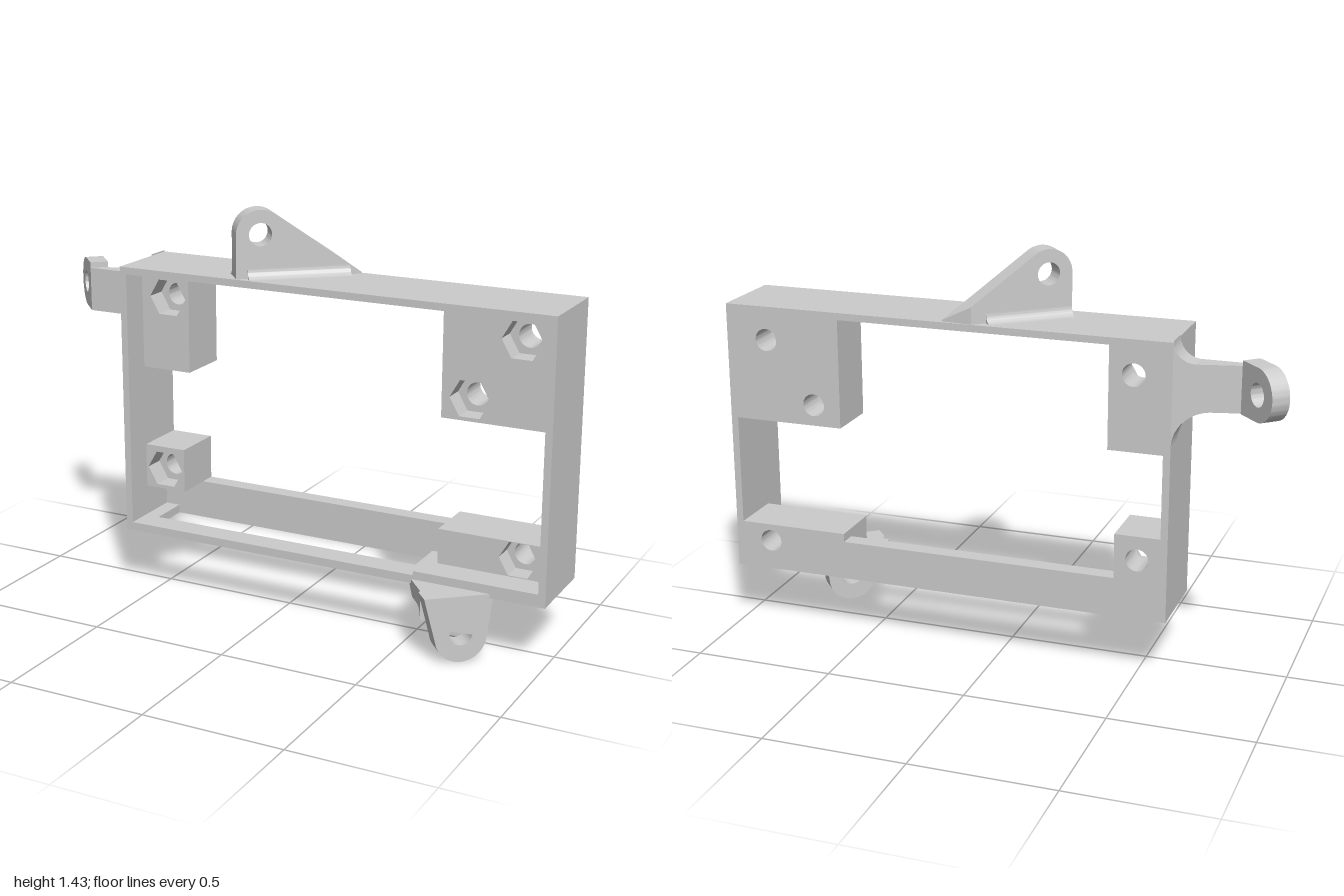
import * as THREE from 'three';
import { toCreasedNormals } from 'three/addons/utils/BufferGeometryUtils.js';

const material = new THREE.MeshStandardMaterial({ color: 0xcccccc });
const HOLE = 0.04, BACK = -0.18, FRONT = 0.12;

function part(parent, name, geometry) {
  const mesh = new THREE.Mesh(geometry, material);
  mesh.name = name;
  parent.add(mesh);
  return mesh;
}

// Box given by its limits on each axis
function box(parent, name, x0, x1, y0, y1, z0, z1) {
  const g = new THREE.BoxGeometry(x1 - x0, y1 - y0, z1 - z0);
  g.translate((x0 + x1) / 2, (y0 + y1) / 2, (z0 + z1) / 2);
  return part(parent, name, g);
}

function extrude(shape, z0, z1) {
  const g = new THREE.ExtrudeGeometry(shape, { depth: z1 - z0, bevelEnabled: false, curveSegments: 20 });
  return g.translate(0, 0, z0);
}

const smooth = (g) => toCreasedNormals(g, 0.5);

function addHole(shape, x, y, r = HOLE) {
  shape.holes.push(new THREE.Path().absarc(x, y, r, 0, Math.PI * 2, true));
}

function addHex(shape, x, y, r) {
  const pts = [];
  for (let i = 0; i < 6; i++) {
    const a = -i * Math.PI / 3;
    pts.push(new THREE.Vector2(x + r * Math.cos(a), y + r * Math.sin(a)));
  }
  shape.holes.push(new THREE.Path(pts));
}

// Corner block: hexagonal nut pockets in front, round screw holes behind
function screwBlock(parent, name, x0, x1, y0, y1, holes, hexR = 0.072) {
  const outline = () => new THREE.Shape([[x0, y0], [x1, y0], [x1, y1], [x0, y1]].map((p) => new THREE.Vector2(...p)));
  const front = outline(), back = outline();
  for (const [x, y] of holes) {
    addHex(front, x, y, hexR);
    addHole(back, x, y);
  }
  const group = new THREE.Group();
  group.name = name;
  part(group, 'nutPocketLayer', extrude(front, -0.06, 0.015));
  part(group, 'screwHoleLayer', smooth(extrude(back, BACK, -0.06)));
  parent.add(group);
}

// Cross-section (local z, y) swept along local x
function sweep(shape, x0, x1) {
  return smooth(extrude(shape, x0, x1).rotateY(Math.PI / 2));
}

function turnedGroup(parent, name, x, y, z, degrees) {
  const group = new THREE.Group();
  group.name = name;
  group.position.set(x, y, z);
  group.rotation.y = THREE.MathUtils.degToRad(degrees);
  parent.add(group);
  return group;
}

function buildFrame(parent) {
  const frame = new THREE.Group();
  frame.name = 'frame';
  parent.add(frame);
  box(frame, 'rightWall', -0.61, -0.585, 0.22, 1.2, BACK, FRONT);
  box(frame, 'leftWall', 0.975, 1, 0.22, 1.2, BACK, FRONT);
  box(frame, 'topWall', -0.585, 0.975, 1.175, 1.2, BACK, FRONT);
  // Floor around a long slot, with a raised pad over the lower lug
  box(frame, 'floorFrontStrip', -0.585, 0.5, 0.22, 0.25, 0.03, FRONT);
  box(frame, 'floorRightEnd', -0.585, -0.53, 0.22, 0.25, -0.12, 0.03);
  box(frame, 'floorLeftEnd', 0.5, 0.975, 0.22, 0.25, -0.12, FRONT);
  box(frame, 'floorPad', 0.53, 0.975, 0.25, 0.265, -0.12, FRONT);
  box(frame, 'backRail', -0.585, 0.575, 0.22, 0.36, BACK, -0.12);

  screwBlock(frame, 'upperRightBlock', -0.585, -0.395, 0.815, 1.175, [[-0.48, 1.08]]);
  screwBlock(frame, 'upperLeftBlock', 0.575, 0.975, 0.785, 1.175, [[0.85, 1.08], [0.675, 0.86]]);
  screwBlock(frame, 'lowerRightBlock', -0.585, -0.425, 0.36, 0.52, [[-0.505, 0.435]]);
  screwBlock(frame, 'lowerLeftBlock', 0.575, 0.975, 0.22, 0.39, [[0.865, 0.328]], 0.069);
}

function buildTopLug(parent) {
  const lug = turnedGroup(parent, 'topLug', -0.145, 1.2, 0.115, 40);
  const r = 0.085, t = 0.075, slope = 0.7, cut = 0.364, end = 0.448;
  const a = Math.PI / 2 - Math.atan(slope);
  const s = new THREE.Shape();
  s.moveTo(0, 0);
  s.lineTo(cut, 0);
  s.lineTo(cut, (end - cut) * slope);
  s.absarc(r, 0.15, r, a, Math.PI, false);
  s.lineTo(0, 0);
  addHole(s, r, 0.15);
  const g = extrude(s, -t, 0);
  // Slant the tail so it ends flush with the frame's back
  const p = g.attributes.position;
  for (let i = 0; i < p.count; i++) {
    if (p.getX(i) > cut - 0.001 && p.getZ(i) > -0.001) {
      p.setX(i, end - 0.008);
      if (p.getY(i) > 0.001) p.setY(i, 0.008 * slope);
    }
  }
  part(lug, 'topLugPlate', smooth(g));
  // Concave fillets along both faces
  for (const [side, z, x0, x1] of [[1, 0, 0.04, 0.4], [-1, -t, 0, 0.31]]) {
    const f = new THREE.Shape();
    f.moveTo(-z, 0);
    f.lineTo(-z - side * 0.035, 0);
    f.quadraticCurveTo(-z, 0, -z, 0.035);
    f.lineTo(-z, 0);
    part(lug, 'topLugFillet', sweep(f, x0, x1));
  }
}

function buildSideLug(parent) {
  // Flared arm, tapering in depth away from the frame
  const s = new THREE.Shape();
  s.moveTo(-0.61, 0.845);
  s.lineTo(-0.61, 1.2);
  s.absarc(-0.685, 1.205, 0.075, 0, -Math.PI / 2, true);
  s.lineTo(-0.86, 1.13);
  s.lineTo(-0.86, 0.97);
  s.absarc(-0.735, 0.845, 0.125, Math.PI / 2, 0, true);
  const g = extrude(s, BACK, -0.09);
  const p = g.attributes.position;
  for (let i = 0; i < p.count; i++) {
    const x = p.getX(i), back = p.getZ(i) < -0.1;
    const nx = x < -0.859 ? (back ? -0.84 : -0.875) : x;
    p.setX(i, nx);
    if (back) p.setZ(i, BACK + 0.055 * (-0.61 - nx) / 0.23);
  }
  part(parent, 'sideLugArm', smooth(g));

  // Rounded head turned backwards
  const head = turnedGroup(parent, 'sideLugHead', -0.875, 1.06, -0.09, -47);
  const h = new THREE.Shape();
  h.moveTo(0, -0.09);
  h.lineTo(0, 0.09);
  h.absarc(-0.095, 0, 0.09, Math.PI / 2, Math.PI * 1.5, false);
  h.lineTo(0, -0.09);
  addHole(h, -0.095, 0);
  part(head, 'sideLugPlate', smooth(extrude(h, -0.065, 0)));
}

function buildBottomLug(parent) {
  const lug = turnedGroup(parent, 'bottomLug', 0.635, 0, 0.265, 40);
  const t = 0.07, w = 0.24, top = 0.235;
  const s = new THREE.Shape();
  s.moveTo(0, top);
  s.absarc(0.13, 0.09, 0.09, Math.PI * 1.05, Math.PI * 1.98, false);
  s.lineTo(w, top);
  s.lineTo(0, top);
  addHole(s, 0.13, 0.1);
  part(lug, 'bottomLugPlate', smooth(extrude(s, -t, 0)));
  // Base running back under the frame, filleted into the plate
  const b = new THREE.Shape();
  b.moveTo(t, top);
  b.lineTo(t, 0.13);
  b.quadraticCurveTo(t, 0.178, t + 0.05, 0.178);
  b.lineTo(0.165, 0.178);
  b.lineTo(0.205, 0.22);
  b.lineTo(0.205, top);
  b.lineTo(t, top);
  part(lug, 'bottomLugBase', sweep(b, 0.008, w - 0.012));
}

export function createModel() {
  const model = new THREE.Group();
  model.name = 'mountingFrame';
  buildFrame(model);
  buildTopLug(model);
  buildSideLug(model);
  buildBottomLug(model);
  return model;
}
